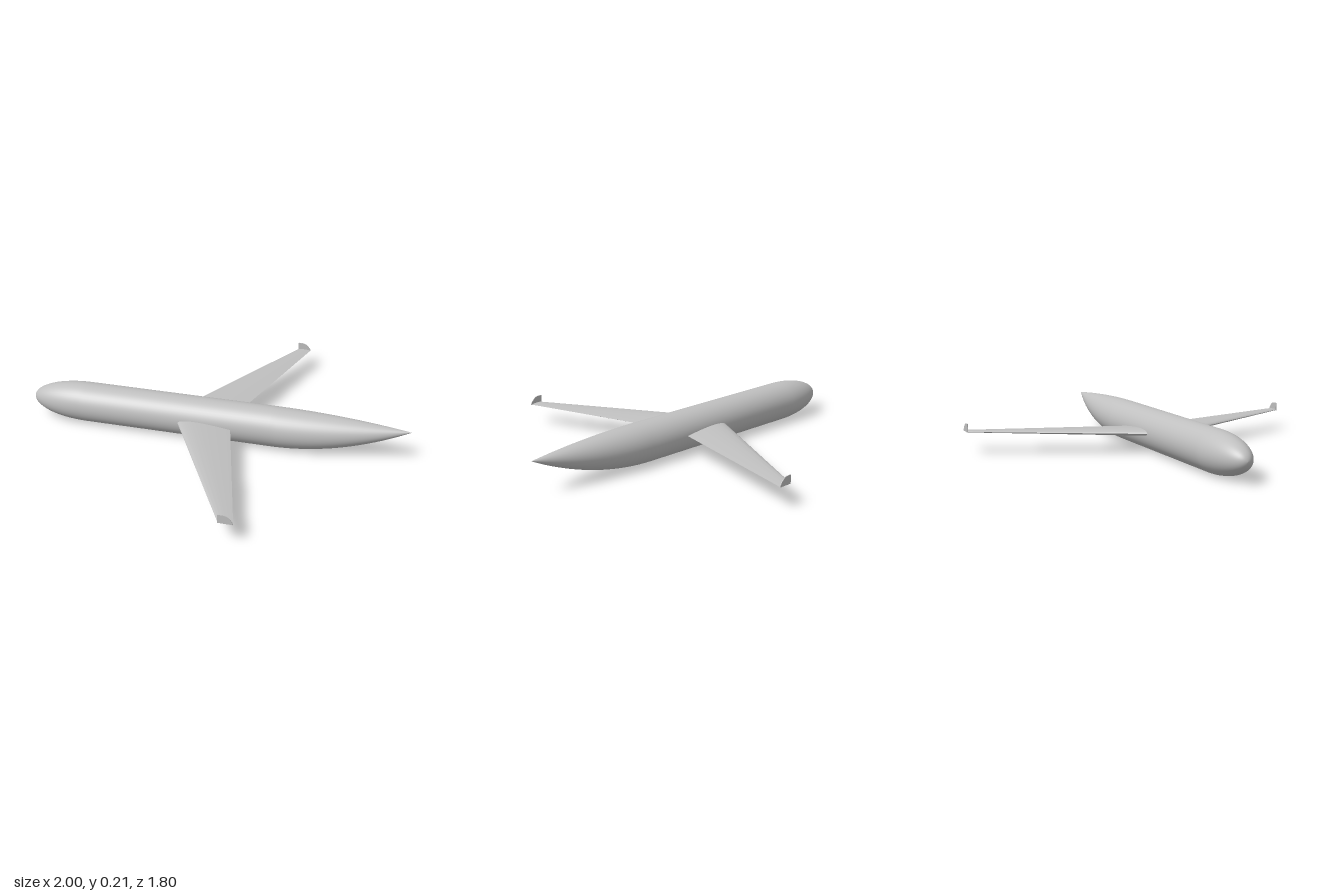
import * as THREE from 'three';
import { toCreasedNormals } from 'three/addons/utils/BufferGeometryUtils.js';

const AXIS_Y = 0.104, RADIUS = 0.104;

// Skin a list of closed rings, each counter-clockwise about the travel direction
function loft(rings, capped) {
  const n = rings[0].length, index = [];
  for (let i = 0; i < rings.length - 1; i++) {
    for (let j = 0; j < n; j++) {
      const a = i * n + j, b = i * n + (j + 1) % n;
      index.push(a, b, a + n, b, b + n, a + n);
    }
  }
  if (capped) {
    const last = (rings.length - 1) * n;
    for (let j = 1; j < n - 1; j++) {
      index.push(0, j + 1, j, last, last + j, last + j + 1);
    }
  }
  const geometry = new THREE.BufferGeometry();
  geometry.setAttribute('position', new THREE.Float32BufferAttribute(rings.flat(2), 3));
  geometry.setIndex(index);
  geometry.computeVertexNormals();
  return geometry;
}

// Round fuselage section in the yz plane
function circleRing(x, y, r, sides = 48) {
  return Array.from({ length: sides }, (_, j) => {
    const a = (j / sides) * Math.PI * 2;
    return [x, y + r * Math.cos(a), r * Math.sin(a)];
  });
}

// Symmetric wing section in the xy plane, from trailing edge over the top and back
function airfoilRing(lead, trail, thickness, y, z, points = 32) {
  return Array.from({ length: points }, (_, j) => {
    const a = (j / points) * Math.PI * 2;
    const u = (1 + Math.cos(a)) / 2;
    const half = 5 * thickness *
      (0.2969 * Math.sqrt(u) - 0.126 * u - 0.3516 * u ** 2 + 0.2843 * u ** 3 - 0.1015 * u ** 4);
    return [lead + (trail - lead) * u, y + (Math.sin(a) >= 0 ? half : -half), z];
  });
}

export function createModel() {
  const model = new THREE.Group();
  model.name = 'airliner';
  const grey = new THREE.MeshStandardMaterial({ color: 0xc0c0c0 });
  grey.name = 'light grey';

  const add = (name, geometry) => {
    const mesh = new THREE.Mesh(geometry, grey);
    mesh.name = name;
    model.add(mesh);
  };

  // Fuselage: elliptical nose, straight barrel, upswept tail cone
  const rings = [];
  for (let i = 0; i <= 16; i++) {
    const a = (i / 16) * Math.PI / 2;
    rings.push(circleRing(-0.7 - 0.3 * Math.cos(a), AXIS_Y, RADIUS * Math.sin(a)));
  }
  for (let i = 0; i <= 20; i++) {
    const t = i / 20;
    rings.push(circleRing(0.3 + 0.7 * t, AXIS_Y + 0.068 * t * t, RADIUS * (1 - t * t)));
  }
  add('fuselage', loft(rings, false));

  // Winglet outline
  const outline = new THREE.Shape();
  outline.moveTo(0.25, 0.106);
  outline.lineTo(0.322, 0.106);
  outline.lineTo(0.318, 0.116);
  outline.quadraticCurveTo(0.298, 0.148, 0.272, 0.149);
  outline.lineTo(0.25, 0.149);
  outline.closePath();

  // Swept wings with upright winglets
  for (const [side, label] of [[1, 'left'], [-1, 'right']]) {
    const root = airfoilRing(-0.19, 0.095, 0.034, 0.108, side * 0.08);
    const tip = airfoilRing(0.25, 0.322, 0.009, 0.109, side * 0.9);
    const sections = side > 0 ? [root, tip] : [tip, root];
    add(label + 'Wing', toCreasedNormals(loft(sections, true), 0.7));

    const winglet = new THREE.ExtrudeGeometry(outline, { depth: 0.004, bevelEnabled: false, curveSegments: 8 });
    winglet.translate(0, 0, side * 0.9 - 0.002);
    add(label + 'Winglet', winglet);
  }
  return model;
}
